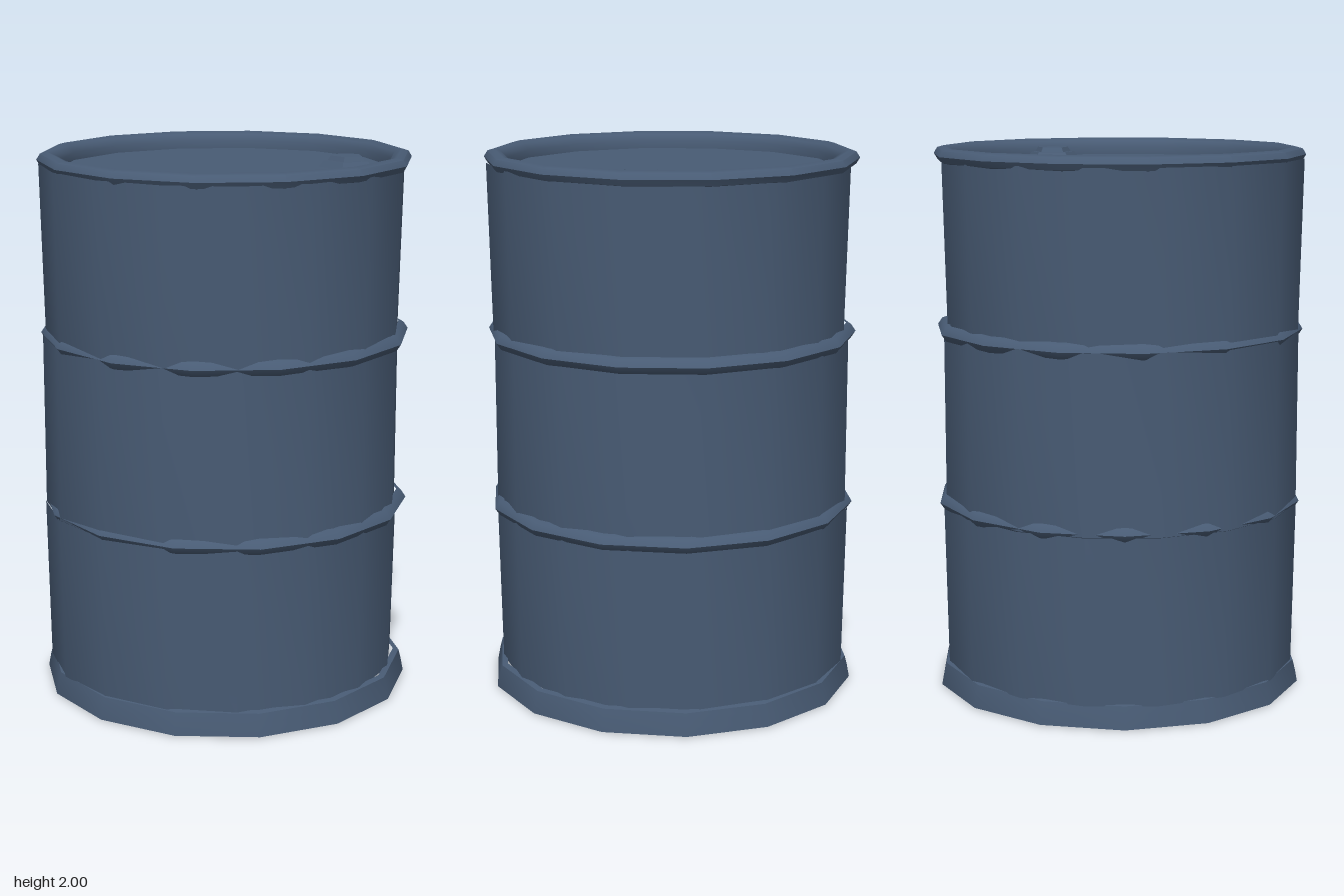
import * as THREE from 'three';
import { toCreasedNormals } from 'three/addons/utils/BufferGeometryUtils.js';

export function createModel() {
  const group = new THREE.Group();
  const steel = new THREE.MeshStandardMaterial({ color: 0x485b74 });
  steel.name = 'paintedSteel';

  const add = (name, geometry, x = 0, y = 0, z = 0) => {
    const mesh = new THREE.Mesh(geometry, steel);
    mesh.name = name;
    mesh.position.set(x, y, z);
    group.add(mesh);
    return mesh;
  };

  // Revolves a [radius, height] profile, keeping hard edges crisp
  const lathe = (profile, sides, turn = 0) => {
    const points = profile.map(([r, y]) => new THREE.Vector2(r, y));
    return toCreasedNormals(new THREE.LatheGeometry(points, sides, turn), 0.75);
  };

  // Three battered wall sections: bottom and top height, bottom and top radius, shift in x and z
  const sections = [
    ['lowerWall', 0.08, 0.69, 0.653, 0.664, -0.012, -0.004],
    ['middleWall', 0.69, 1.335, 0.659, 0.659, -0.014, 0],
    ['upperWall', 1.335, 1.96, 0.652, 0.666, -0.01, 0.01],
  ];
  for (const [name, y0, y1, r0, r1, x, z] of sections) {
    add(name, lathe([[r0, y0], [r1, y1]], 16), x, 0, z);
  }

  // Rolled hoops between the sections
  [0.7, 1.335].forEach((y, i) => add(i ? 'upperHoop' : 'lowerHoop', lathe([
    [0.645, y - 0.03], [0.664, y - 0.024], [0.68, y], [0.664, y + 0.024], [0.645, y + 0.03],
  ], 14, 0.1 + i * 0.1)));

  // Broad rolled top rim around the recessed lid
  add('topRim', lathe([
    [0.645, 1.945], [0.67, 1.95], [0.683, 1.972], [0.67, 1.993],
    [0.645, 2], [0.62, 1.99], [0.606, 1.965], [0.606, 1.93],
  ], 14, 0.22));

  // Bottom rim, flared towards the floor
  add('bottomRim', lathe([
    [0.62, 0.03], [0.625, 0.008], [0.65, 0], [0.685, 0.003], [0.676, 0.05], [0.667, 0.085], [0.645, 0.09],
  ], 14, 0.1));

  // Lid and base discs
  add('lid', new THREE.CircleGeometry(0.635, 14), 0, 1.937, 0).rotation.x = -Math.PI / 2;
  add('base', new THREE.CircleGeometry(0.635, 14), 0, 0.025, 0).rotation.x = Math.PI / 2;

  // Five-sided filler cap with a narrower raised top
  const capBase = new THREE.CylinderGeometry(0.085, 0.105, 0.024, 5);
  const capTop = new THREE.CylinderGeometry(0.06, 0.072, 0.018, 5);
  add('capBase', toCreasedNormals(capBase, 0.4), 0.445, 1.948, 0).rotation.y = -0.3;
  add('capTop', toCreasedNormals(capTop, 0.4), 0.445, 1.968, 0).rotation.y = -0.3;

  return group;
}
